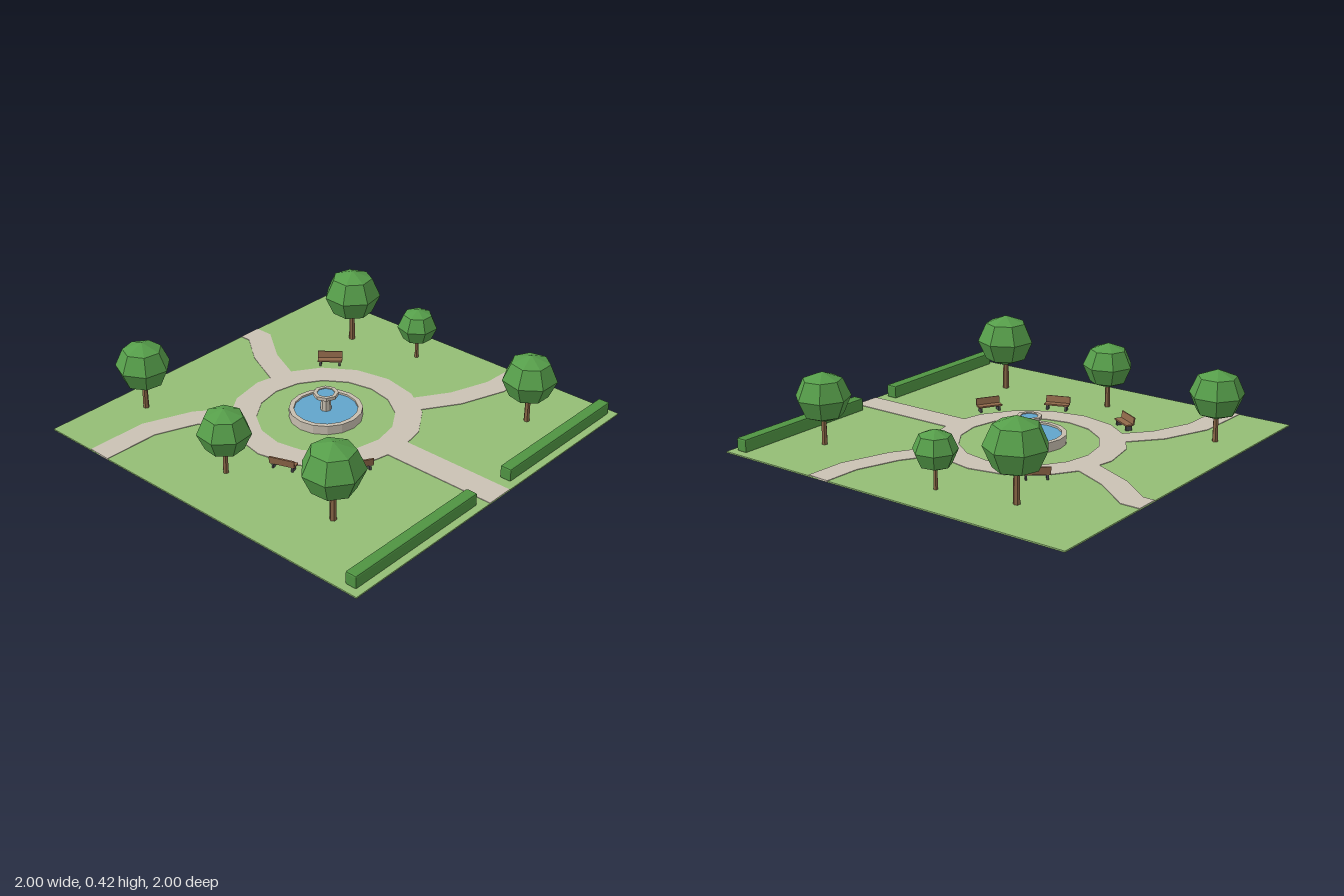
import * as THREE from 'three';
import { RoundedBoxGeometry } from 'three/addons/geometries/RoundedBoxGeometry.js';

const GRASS_TOP = 0.007;
const PATH_TOP = 0.01;
const CENTRE_Z = -0.085; // middle of the fountain and ring path

const paint = (name, color) => {
  const m = new THREE.MeshStandardMaterial({ color });
  m.name = name;
  return m;
};

// Faceted normals
function flat(geometry) {
  const g = geometry.index ? geometry.toNonIndexed() : geometry;
  g.computeVertexNormals();
  return g;
}

function add(parent, name, geometry, material, x = 0, y = 0, z = 0) {
  const mesh = new THREE.Mesh(geometry, material);
  mesh.name = name;
  mesh.position.set(x, y, z);
  parent.add(mesh);
  return mesh;
}

// Thin slab from a shape drawn in x and z
function slab(shape) {
  const g = new THREE.ExtrudeGeometry(shape, { depth: PATH_TOP - 0.002, bevelEnabled: false });
  return g.rotateX(Math.PI / 2);
}

// Strip of constant width along a line of [x, z] points
function ribbon(points, width) {
  const p = points.map(([x, z]) => new THREE.Vector2(x, z));
  const left = [], right = [];
  p.forEach((point, i) => {
    const a = point.clone().sub(p[Math.max(i - 1, 0)]).normalize();
    const b = p[Math.min(i + 1, p.length - 1)].clone().sub(point).normalize();
    const dir = a.clone().add(b).normalize();
    const side = new THREE.Vector2(-dir.y, dir.x);
    const half = width / 2 / Math.max(dir.dot(i ? a : b), 0.5);
    left.push(point.clone().addScaledVector(side, half));
    right.unshift(point.clone().addScaledVector(side, -half));
  });
  return new THREE.Shape([...left, ...right]);
}

function polygon(radius, sides) {
  return Array.from({ length: sides }, (_, i) => {
    const a = (i / sides) * Math.PI * 2;
    return new THREE.Vector2(Math.cos(a) * radius, Math.sin(a) * radius);
  });
}

const lathe = (profile, sides) =>
  flat(new THREE.LatheGeometry(profile.map(([r, y]) => new THREE.Vector2(r, y)), sides));

export function createModel() {
  const park = new THREE.Group();
  park.name = 'park';

  const grass = paint('grass', 0x93bd75);
  const paving = paint('paving', 0xcac1b3);
  const stone = paint('stone', 0xc6bdae);
  const water = paint('water', 0x62a5cb);
  const leaf = paint('leaf', 0x569e4a);
  const hedgeGreen = paint('hedge green', 0x4f9342);
  const bark = paint('bark', 0x8a6646);
  const wood = paint('bench wood', 0x91694a);
  const iron = paint('bench iron', 0x4c4c50);

  // Lawn
  add(park, 'lawn', new THREE.BoxGeometry(2, GRASS_TOP, 2), grass, 0, GRASS_TOP / 2, 0);

  // Ring path and the four paths leading to it
  const ring = new THREE.Shape(polygon(0.487, 16));
  ring.holes.push(new THREE.Path(polygon(0.35, 16)));
  add(park, 'ringPath', slab(ring), paving, 0, PATH_TOP, CENTRE_Z);
  const paths = [
    ['frontPath', 0.15, [[0, 0.36], [0, 1]]],
    ['backRightPath', 0.125, [[-1, -0.652], [-0.69, -0.645], [-0.46, -0.553], [-0.28, -0.4]]],
    ['backLeftPath', 0.125, [[0.37, -1], [0.37, -0.92], [0.235, -0.74], [0.13, -0.51]]],
    ['leftPath', 0.123, [[1, 0.388], [0.8, 0.38], [0.57, 0.3], [0.36, 0.165]]],
  ];
  for (const [name, width, points] of paths) {
    add(park, name, slab(ribbon(points, width)), paving, 0, PATH_TOP, 0);
  }

  // Fountain
  const fountain = new THREE.Group();
  fountain.name = 'fountain';
  fountain.position.z = CENTRE_Z;
  park.add(fountain);
  add(fountain, 'basin', lathe([[0.187, 0.004], [0.187, 0.055], [0.162, 0.055], [0.162, 0.02]], 16), stone);
  add(fountain, 'basinWater', new THREE.CircleGeometry(0.163, 16).rotateX(-Math.PI / 2), water, 0, 0.045, 0);
  add(fountain, 'pillar', flat(new THREE.CylinderGeometry(0.024, 0.028, 0.085, 8)), stone, 0, 0.0825, 0);
  add(fountain, 'bowl',
    lathe([[0.022, 0.12], [0.064, 0.124], [0.064, 0.142], [0.045, 0.142], [0.045, 0.132]], 8), stone);
  add(fountain, 'bowlWater', new THREE.CircleGeometry(0.046, 8).rotateX(-Math.PI / 2), water, 0, 0.137, 0);

  // Trees: x, z, crown radius, crown centre height, turn in degrees
  const trees = [
    [-0.55, -0.82, 0.14, 0.25, 3],
    [-0.7, -0.085, 0.133, 0.235, 19],
    [-0.647, 0.55, 0.153, 0.278, 29],
    [0.706, -0.535, 0.153, 0.278, 23],
    [0.78, -0.135, 0.108, 0.195, 10],
    [0.635, 0.695, 0.14, 0.25, 12],
  ];
  for (const [x, z, r, y, turn] of trees) {
    const tree = new THREE.Group();
    tree.name = 'tree';
    tree.position.set(x, 0, z);
    tree.rotation.y = THREE.MathUtils.degToRad(turn);
    park.add(tree);
    add(tree, 'trunk', flat(new THREE.CylinderGeometry(r * 0.085, r * 0.11, y, 6)), bark, 0, y / 2 + 0.002, 0);
    add(tree, 'crown', flat(new THREE.SphereGeometry(r, 7, 4).scale(1, 0.92, 1)), leaf, 0, y, 0);
  }

  // Hedges along the front edge
  for (const side of [-1, 1]) {
    add(park, side > 0 ? 'leftHedge' : 'rightHedge',
      flat(new RoundedBoxGeometry(0.835, 0.068, 0.062, 1, 0.008)), hedgeGreen, side * 0.5455, 0.041, 0.934);
  }

  // Benches facing the fountain
  for (const [x, z] of [[-0.46, -0.348], [0.405, -0.425], [-0.497, 0.097], [-0.267, 0.373]]) {
    const bench = new THREE.Group();
    bench.name = 'bench';
    bench.position.set(x, 0, z);
    bench.rotation.y = Math.atan2(-x, CENTRE_Z - z);
    park.add(bench);
    add(bench, 'seat', new THREE.BoxGeometry(0.13, 0.008, 0.042), wood, 0, 0.037, 0.004);
    const back = add(bench, 'backrest', new THREE.BoxGeometry(0.13, 0.036, 0.008), wood, 0, 0.057, -0.02);
    back.rotation.x = -0.15;
    for (const side of [-1, 1]) {
      add(bench, 'benchLeg', new THREE.BoxGeometry(0.01, 0.03, 0.034), iron, side * 0.05, 0.019, 0.003);
    }
  }
  return park;
}
